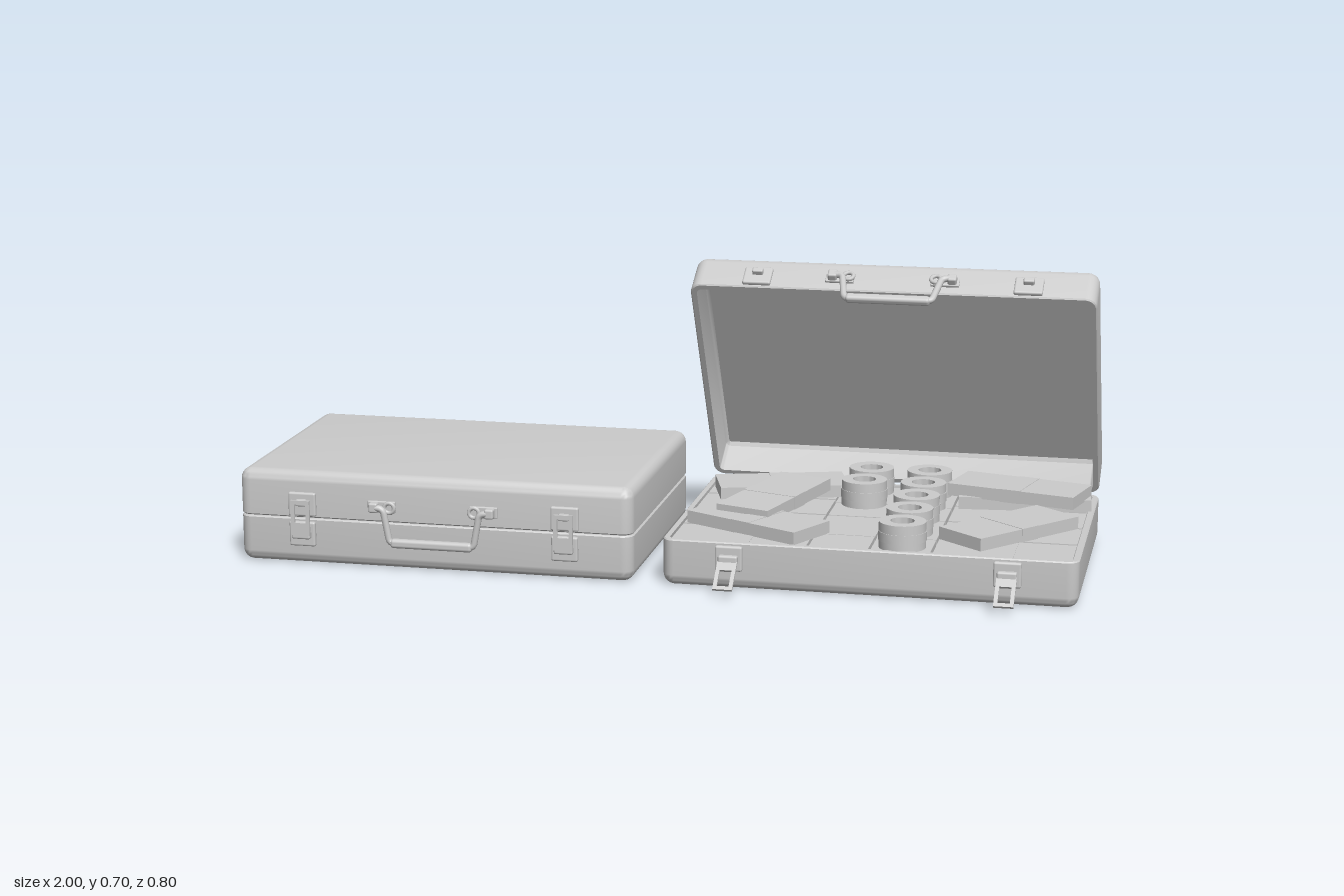
import * as THREE from 'three';
import { toCreasedNormals } from 'three/addons/utils/BufferGeometryUtils.js';
import { RoundedBoxGeometry } from 'three/addons/geometries/RoundedBoxGeometry.js';

const W = 0.965, D = 0.627, H = 0.112;
const mat = new THREE.MeshStandardMaterial({ color: 0xcccccc, side: THREE.DoubleSide });

function add(parent, name, geo, x = 0, y = 0, z = 0) {
  const m = new THREE.Mesh(geo, mat);
  m.name = name;
  m.position.set(x, y, z);
  parent.add(m);
  return m;
}

// One rounded-rectangle ring, counter-clockwise seen from above
function ring(inset, y, r = 0.028) {
  const pts = [], rad = Math.max(r - inset, 0.004), steps = 6;
  const hw = W / 2 - inset - rad, hd = D / 2 - inset - rad;
  for (let q = 0; q < 4; q++) {
    const sx = q === 0 || q === 3 ? 1 : -1, sz = q < 2 ? -1 : 1;
    for (let i = 0; i <= steps; i++) {
      const a = (q + i / steps) * Math.PI / 2;
      pts.push([sx * hw + rad * Math.cos(a), y, sz * hd - rad * Math.sin(a)]);
    }
  }
  return pts;
}

// Hollow tray, opening upward, with a rounded bottom edge
function trayGeometry() {
  const e = 0.026, wall = 0.015, rings = [];
  const centre = y => ring(0, y).map(() => [0, y, 0]);
  rings.push(centre(0));
  for (let i = 0; i <= 6; i++) {
    const a = i / 6 * Math.PI / 2;
    rings.push(ring(e * (1 - Math.sin(a)), e * (1 - Math.cos(a))));
  }
  rings.push(ring(0, H - 0.003), ring(0.003, H), ring(wall, H), ring(wall, wall + 0.008),
    ring(wall + 0.008, wall), centre(wall));
  const n = rings[0].length, index = [];
  for (let i = 0; i < rings.length - 1; i++) {
    for (let k = 0; k < n; k++) {
      const a = i * n + k, b = i * n + (k + 1) % n;
      index.push(a, b, b + n, a, b + n, a + n);
    }
  }
  const g = new THREE.BufferGeometry();
  g.setAttribute('position', new THREE.Float32BufferAttribute(rings.flat(2), 3));
  g.setIndex(index);
  return toCreasedNormals(g, 0.6);
}

// Flat rectangular frame standing on its pivot, used for the latch levers
function leverGeometry() {
  const rect = (P, w, y0, y1) => {
    const p = new P();
    p.moveTo(-w, y0); p.lineTo(w, y0); p.lineTo(w, y1); p.lineTo(-w, y1); p.closePath();
    return p;
  };
  const s = rect(THREE.Shape, 0.023, 0, 0.085);
  s.holes.push(rect(THREE.Path, 0.014, 0.03, 0.075));
  return new THREE.ExtrudeGeometry(s, { depth: 0.006, bevelEnabled: false });
}

// Carrying handle with its two mounts; origin on the lid rim at the front face
function makeHandle() {
  const g = new THREE.Group();
  g.name = 'handle';
  const path = new THREE.CurvePath();
  const pts = [[-0.137, 0.038], [-0.118, 0.036], [-0.103, -0.046], [0.103, -0.046], [0.118, 0.036], [0.137, 0.038]]
    .map(([x, y]) => new THREE.Vector3(x, y, 0.016));
  let last = pts[0];
  for (let i = 1; i < pts.length - 1; i++) {
    const c = pts[i];
    const before = c.clone().lerp(pts[i - 1], 0.012 / c.distanceTo(pts[i - 1]));
    const after = c.clone().lerp(pts[i + 1], 0.012 / c.distanceTo(pts[i + 1]));
    path.add(new THREE.LineCurve3(last, before));
    path.add(new THREE.QuadraticBezierCurve3(before, c, after));
    last = after;
  }
  path.add(new THREE.LineCurve3(last, pts[pts.length - 1]));
  add(g, 'handleBar', new THREE.TubeGeometry(path, 90, 0.008, 10));
  add(g, 'handleGrip', new RoundedBoxGeometry(0.2, 0.022, 0.02, 3, 0.008), 0, -0.046, 0.016);
  for (const s of [-1, 1]) {
    add(g, 'handlePlate', new RoundedBoxGeometry(0.068, 0.028, 0.008, 2, 0.003), s * 0.125, 0.038, 0.003);
    add(g, 'handleEye', new THREE.TorusGeometry(0.012, 0.005, 8, 16), s * 0.104, 0.038, 0.012);
    add(g, 'handleKnuckle', new RoundedBoxGeometry(0.022, 0.024, 0.022, 2, 0.005), s * 0.142, 0.038, 0.012);
  }
  return g;
}

// Whole case; angle is how far the lid is swung open
function makeCase(name, angle) {
  const g = new THREE.Group();
  g.name = name;
  const tray = trayGeometry();
  add(g, 'base', tray);

  // Lid pivots on the back edge
  const lid = new THREE.Group();
  lid.name = 'lid';
  lid.position.set(0, H + 0.002, -D / 2);
  lid.rotation.x = -angle;
  g.add(lid);
  add(lid, 'lidShell', tray, 0, H, D / 2).rotation.z = Math.PI;
  const handle = makeHandle();
  handle.position.z = D;
  lid.add(handle);

  for (const s of [-1, 1]) {
    // Latches: catch on the lid, plate and lever on the base
    const x = s * 0.322;
    add(lid, 'latchCatch', new RoundedBoxGeometry(0.068, 0.058, 0.012, 2, 0.005), x, 0.034, D + 0.004);
    add(lid, 'latchHook', new RoundedBoxGeometry(0.026, 0.016, 0.018, 2, 0.004), x, 0.04, D + 0.013);
    add(g, 'latchPlate', new RoundedBoxGeometry(0.064, 0.06, 0.014, 2, 0.005), x, 0.076, D / 2 + 0.005);
    add(g, 'latchPivot', new RoundedBoxGeometry(0.046, 0.02, 0.02, 2, 0.005), x, 0.076, D / 2 + 0.014);
    const lever = add(g, 'latchLever', leverGeometry(), x, 0.076, D / 2 + 0.018);
    if (angle) lever.rotation.x = 2.23;

    // Hinges: leaf on each half and a barrel between
    const hx = s * 0.27;
    add(g, 'hingeLeaf', new THREE.BoxGeometry(0.19, 0.022, 0.005), hx, 0.099, -D / 2 - 0.001);
    add(lid, 'hingeLeaf', new THREE.BoxGeometry(0.19, 0.022, 0.005), hx, 0.014, -0.001);
    add(g, 'hingeBarrel', new THREE.CylinderGeometry(0.005, 0.005, 0.19, 12), hx, H + 0.001, -D / 2 - 0.002)
      .rotation.z = Math.PI / 2;
  }
  return g;
}

// Banded paper bundle
function makeBundle(parent, x, y, z, turn, h = 0.034, tilt = 0) {
  const g = new THREE.Group();
  g.name = 'bundle';
  g.position.set(x, y, z);
  g.rotation.set(0, turn, tilt);
  add(g, 'paper', new THREE.BoxGeometry(0.318, h, 0.138));
  add(g, 'paperBand', new THREE.BoxGeometry(0.05, h + 0.002, 0.14));
  parent.add(g);
}

function makeContents() {
  const g = new THREE.Group();
  g.name = 'contents';
  // Packed lower layer
  for (let i = 0; i < 4; i++) {
    for (const s of [-1, 1]) makeBundle(g, s * 0.306, 0.062, -0.221 + i * 0.147, 0, 0.09);
  }
  for (const x of [-0.072, 0.072]) {
    for (const z of [-0.148, 0.148]) {
      const p = add(g, 'lowerBundle', new THREE.BoxGeometry(0.138, 0.09, 0.29), x, 0.062, z);
      add(p, 'paperBand', new THREE.BoxGeometry(0.14, 0.092, 0.05));
    }
  }
  // Loose bundles on top: x, y, z, turn, tilt
  const loose = [
    [-0.285, 0.122, 0.15, -0.48, 0], [-0.275, 0.142, -0.01, 1.25, 0.03],
    [0.302, 0.126, 0.095, 0.88, 0], [0.31, 0.124, -0.2, 0.1, 0],
    [0.3, 0.15, -0.17, -0.25, 0], [-0.29, 0.122, -0.2, 0.3, 0]];
  for (const [x, y, z, turn, tilt] of loose) makeBundle(g, x, y, z, turn, 0.03, tilt);

  // Hollow rolls with a raised band
  const profile = [[0.028, 0], [0.055, 0], [0.055, 0.018], [0.0565, 0.018], [0.0565, 0.04], [0.055, 0.04],
    [0.055, 0.062], [0.028, 0.062], [0.028, 0]].map(p => new THREE.Vector2(...p));
  const roll = toCreasedNormals(new THREE.LatheGeometry(profile, 28), 0.6);
  for (let i = 0; i < 5; i++) {
    const z = -0.24 + i * 0.1225;
    add(g, 'roll', roll, 0.072, 0.109, z);
    if (i < 2) add(g, 'roll', roll, -0.072, 0.109, z);
  }
  return g;
}

export function createModel() {
  const model = new THREE.Group();
  model.name = 'briefcases';
  const closed = makeCase('closedCase', 0);
  closed.position.x = -0.5175;
  const open = makeCase('openCase', Math.PI / 3);
  open.position.x = 0.5175;
  open.add(makeContents());
  model.add(closed, open);
  return model;
}
